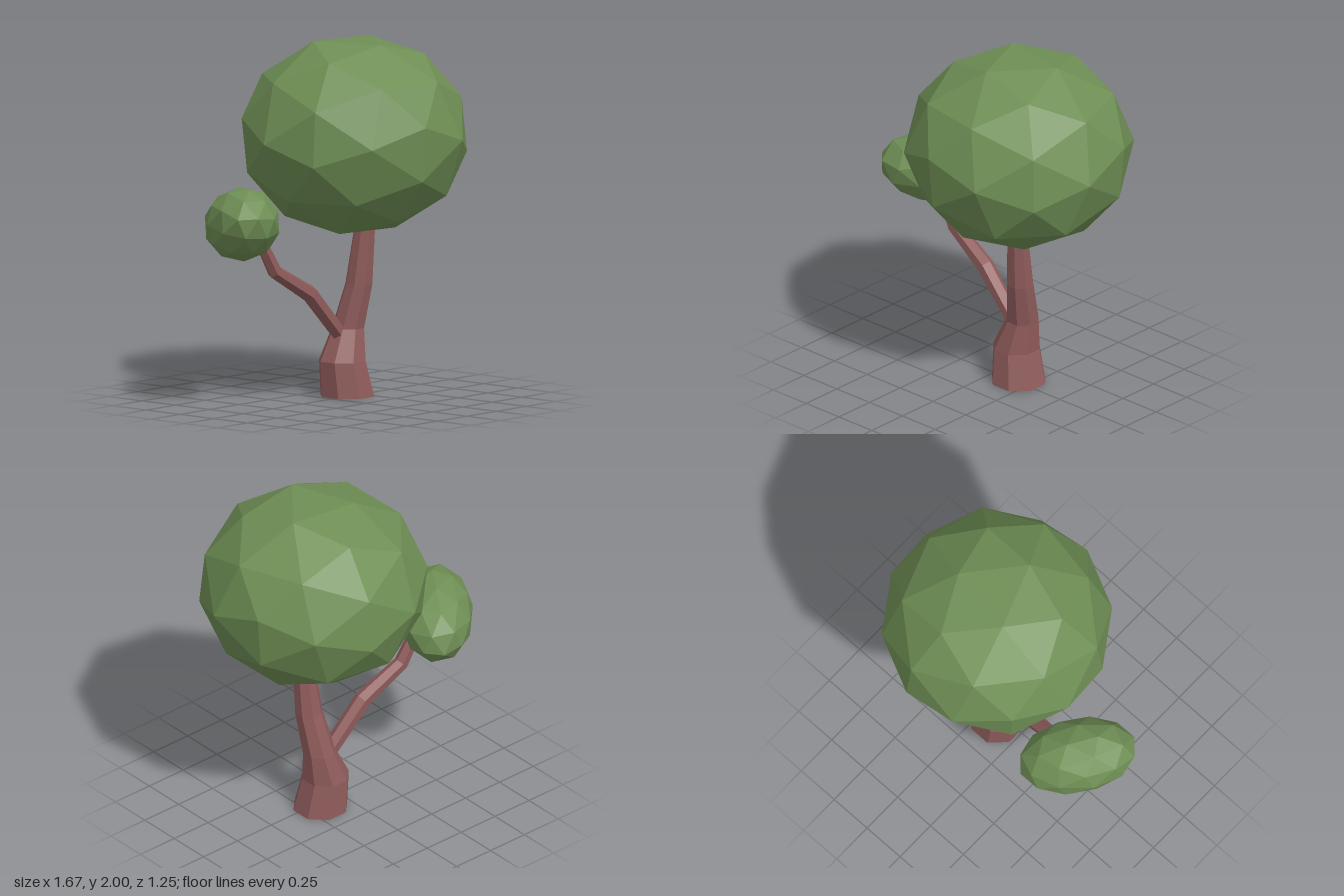
import * as THREE from 'three';

const bark = new THREE.MeshStandardMaterial({ color: 0x8f5c5b, flatShading: true });
const leaf = new THREE.MeshStandardMaterial({ color: 0x6f8f55, flatShading: true });
const UP = new THREE.Vector3(0, 1, 0);

// Capped limb through rings [x, y, z, radius]; rings lie flat or follow the path
function limb(name, rings, sides, followPath) {
  const pos = [], idx = [];
  const centres = rings.map(([x, y, z]) => new THREE.Vector3(x, y, z));
  const last = rings.length - 1;
  centres.forEach((c, i) => {
    const q = new THREE.Quaternion();
    if (followPath) {
      const dir = new THREE.Vector3();
      if (i > 0) dir.add(c.clone().sub(centres[i - 1]).normalize());
      if (i < last) dir.add(centres[i + 1].clone().sub(c).normalize());
      q.setFromUnitVectors(UP, dir.normalize());
    }
    for (let s = 0; s < sides; s++) {
      const a = ((s + 0.5) / sides) * Math.PI * 2;
      const p = new THREE.Vector3(Math.sin(a), 0, Math.cos(a)).multiplyScalar(rings[i][3]);
      pos.push(...p.applyQuaternion(q).add(c).toArray());
    }
  });
  for (let i = 0; i < last; i++) {
    for (let s = 0; s < sides; s++) {
      const a = i * sides + s, b = i * sides + ((s + 1) % sides);
      idx.push(a, b, b + sides, a, b + sides, a + sides);
    }
  }
  // End caps
  const top = last * sides;
  for (let s = 1; s < sides - 1; s++) {
    idx.push(0, s + 1, s, top, top + s, top + s + 1);
  }
  const geo = new THREE.BufferGeometry();
  geo.setAttribute('position', new THREE.Float32BufferAttribute(pos, 3));
  geo.setIndex(idx);
  geo.computeVertexNormals();
  const mesh = new THREE.Mesh(geo, bark);
  mesh.name = name;
  return mesh;
}

// Faceted foliage ball with a flat triangle on top
function foliage(name, yaw, scale, centre) {
  const geo = new THREE.IcosahedronGeometry(1, 1);
  geo.rotateX(-0.365).rotateY(yaw).scale(...scale);
  const mesh = new THREE.Mesh(geo, leaf);
  mesh.name = name;
  mesh.position.set(...centre);
  return mesh;
}

export function createModel() {
  const tree = new THREE.Group();
  tree.name = 'tree';

  // Flared, slightly bent trunk running up into the crown
  tree.add(limb('trunk', [
    [0.162, 0, -0.027, 0.158],
    [0.135, 0.2, -0.04, 0.137],
    [0.183, 0.38, -0.04, 0.094],
    [0.212, 0.63, 0.015, 0.079],
    [0.225, 0.96, 0.048, 0.06],
    [0.228, 1.1, 0.05, 0.056],
  ], 8, false));

  // Kinked side branch
  tree.add(limb('sideBranch', [
    [0.15, 0.31, -0.04, 0.045],
    [-0.12, 0.6, -0.06, 0.05],
    [-0.38, 0.75, -0.09, 0.042],
    [-0.46, 0.89, -0.1, 0.036],
  ], 6, true));

  tree.add(foliage('mainCrown', Math.PI - 0.17, [0.65, 0.567, 0.645], [0.19, 1.47, 0]));

  // Long, tilted ball of leaves at the branch end
  const small = foliage('smallCrown', 0.2, [0.34, 0.208, 0.212], [-0.573, 1.032, -0.163]);
  small.quaternion.setFromUnitVectors(
    new THREE.Vector3(1, 0, 0),
    new THREE.Vector3(-0.635, 0.18, 0.775).normalize(),
  );
  tree.add(small);

  return tree;
}
